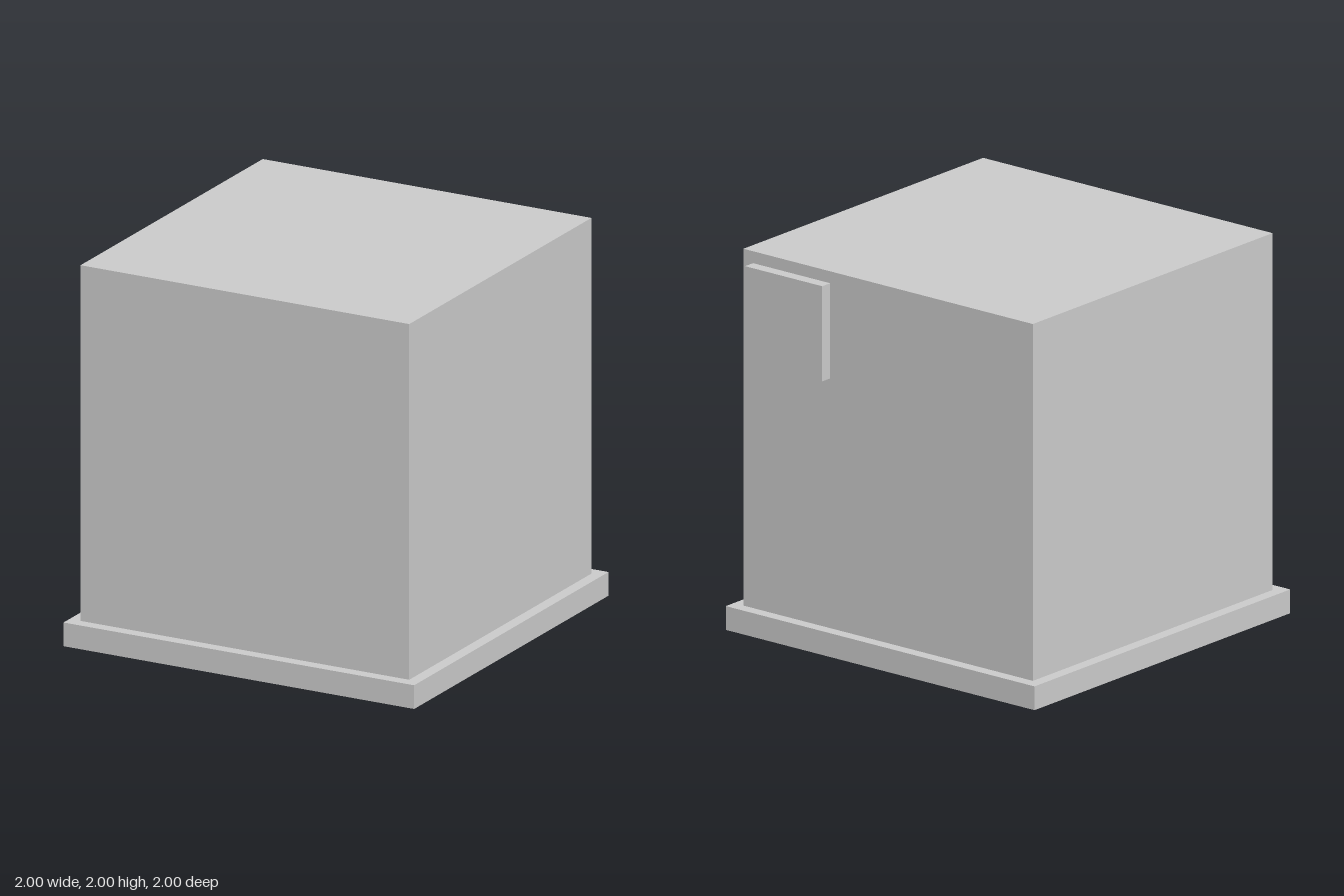
import * as THREE from 'three';

export function createModel() {
  const group = new THREE.Group();
  const material = new THREE.MeshStandardMaterial({ color: 0xcccccc, flatShading: true });

  // Box given by its size and the centre of its underside
  const addBox = (name, w, h, d, x, y, z) => {
    const mesh = new THREE.Mesh(new THREE.BoxGeometry(w, h, d), material);
    mesh.name = name;
    mesh.position.set(x, y + h / 2, z);
    group.add(mesh);
  };

  // Wide plinth
  addBox('base', 2, 0.125, 2, 0, 0, 0);
  // Main block
  addBox('body', 1.875, 1.875, 1.875, 0, 0.125, 0);
  // Small square plate on the upper back
  addBox('backPanel', 0.5, 0.5, 0.0625, 0.625, 1.4375, -0.96875);

  return group;
}
